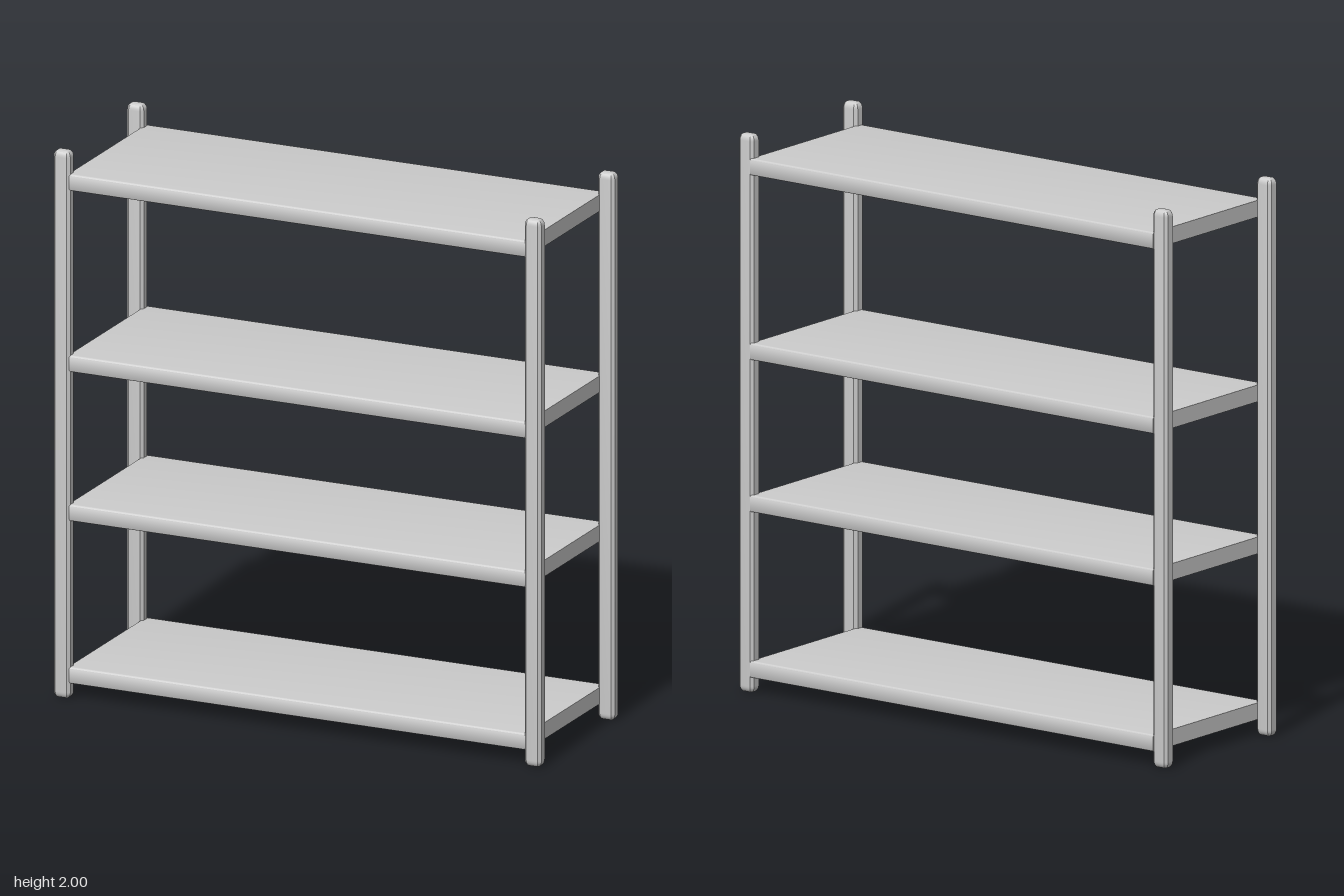
import * as THREE from 'three';
import { toCreasedNormals } from 'three/addons/utils/BufferGeometryUtils.js';

const material = new THREE.MeshStandardMaterial({ color: 0xcccccc });

// Rectangle with rounded corners, centred on the origin
function roundedRect(w, h, r) {
  const x = w / 2, y = h / 2;
  const s = new THREE.Shape();
  s.moveTo(-x + r, -y);
  s.lineTo(x - r, -y);
  s.quadraticCurveTo(x, -y, x, -y + r);
  s.lineTo(x, y - r);
  s.quadraticCurveTo(x, y, x - r, y);
  s.lineTo(-x + r, y);
  s.quadraticCurveTo(-x, y, -x, y - r);
  s.lineTo(-x, -y + r);
  s.quadraticCurveTo(-x, -y, -x + r, -y);
  return s;
}

// Upright post: square-edged bar with domed ends
function postGeometry(w, d, height) {
  const dome = 0.024, inset = 0.016;
  const shape = roundedRect(w - inset * 2, d - inset * 2, 0.001);
  const geo = new THREE.ExtrudeGeometry(shape, {
    depth: height - dome * 2, bevelEnabled: true, bevelThickness: dome,
    bevelSize: inset, bevelSegments: 5, curveSegments: 1,
  });
  geo.translate(0, 0, dome);
  geo.rotateX(-Math.PI / 2);
  return toCreasedNormals(geo, 0.6);
}

// Shelf board: long edges eased, ends cut square
function shelfGeometry(length, thickness, depth) {
  const geo = new THREE.ExtrudeGeometry(roundedRect(depth, thickness, 0.009), {
    depth: length, bevelEnabled: false, curveSegments: 4,
  });
  geo.translate(0, 0, -length / 2);
  geo.rotateY(Math.PI / 2);
  return toCreasedNormals(geo, 0.6);
}

export function createModel() {
  const group = new THREE.Group();
  group.name = 'shelvingUnit';

  const add = (name, geo, x, y, z) => {
    const mesh = new THREE.Mesh(geo, material);
    mesh.name = name;
    mesh.position.set(x, y, z);
    group.add(mesh);
  };

  // Four corner posts
  const post = postGeometry(0.064, 0.048, 2);
  for (const [side, x] of [['Left', 0.909], ['Right', -0.909]]) {
    add('front' + side + 'Post', post, x, 0, 0.297);
    add('back' + side + 'Post', post, x, 0, -0.295);
  }

  // Four shelves
  const shelf = shelfGeometry(1.77, 0.06, 0.635);
  [0.086, 0.68, 1.225, 1.887].forEach((y, i) => add('shelf' + (i + 1), shelf, 0, y, -0.0035));

  return group;
}
